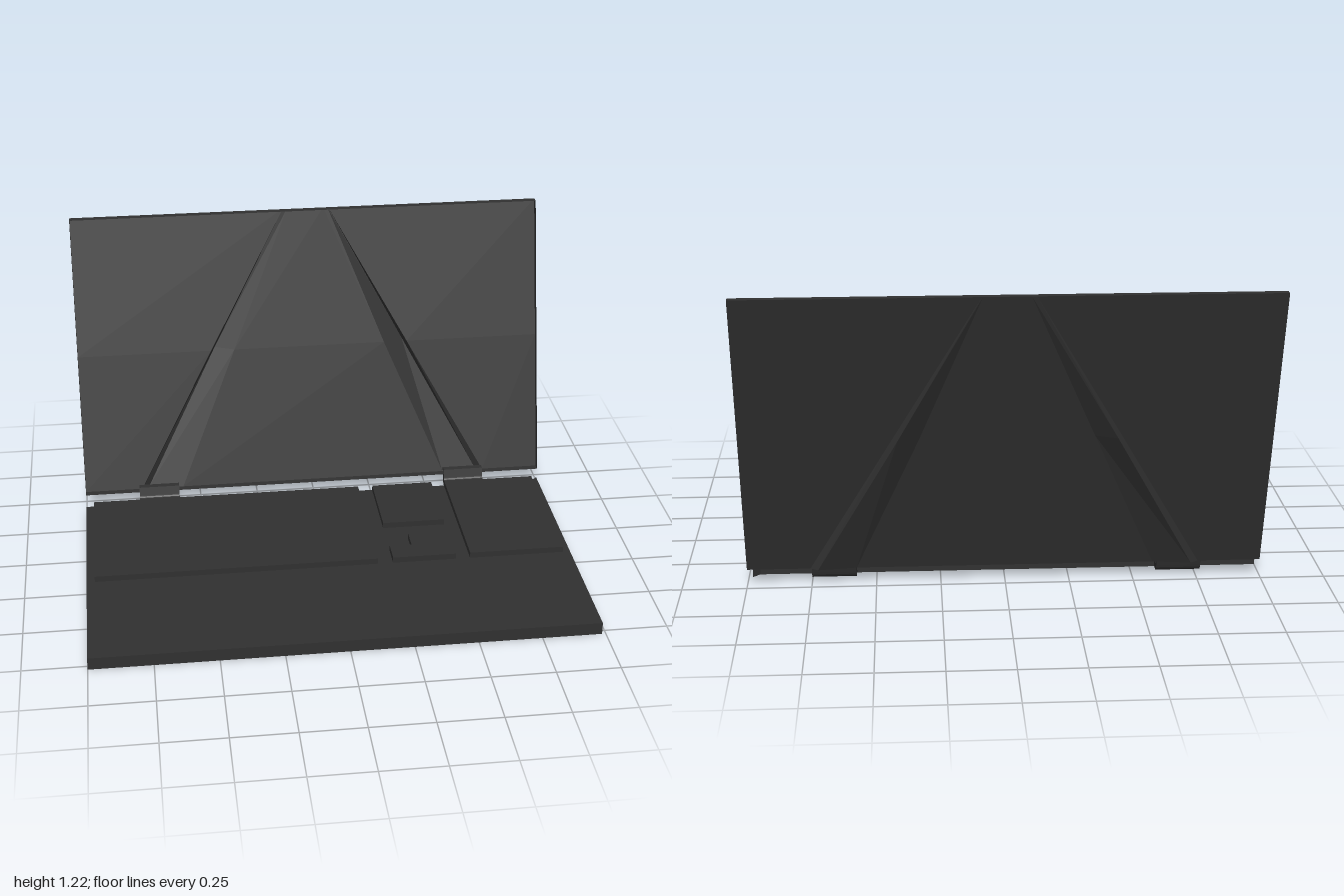
import * as THREE from 'three';

const charcoal = new THREE.MeshStandardMaterial({ color: 0x303030, side: THREE.DoubleSide });
charcoal.name = 'charcoal';

function part(name, geometry) {
  const mesh = new THREE.Mesh(geometry, charcoal);
  mesh.name = name;
  return mesh;
}

// Flat-faced surface through rows of [x, y, z] points
function surface(rows) {
  const pos = [];
  for (let r = 0; r + 1 < rows.length; r++) {
    for (let i = 0; i + 1 < rows[r].length; i++) {
      const a = rows[r][i], b = rows[r][i + 1], c = rows[r + 1][i + 1], d = rows[r + 1][i];
      pos.push(...a, ...b, ...c, ...a, ...c, ...d);
    }
  }
  const g = new THREE.BufferGeometry();
  g.setAttribute('position', new THREE.Float32BufferAttribute(pos, 3));
  g.computeVertexNormals();
  return g;
}

// Outlines are [x, z] lists running counter-clockwise seen from above
const rect = (x0, x1, z0, z1) => [[x0, z1], [x1, z1], [x1, z0], [x0, z0]];
const toPoints = (outline) => outline.map(([x, z]) => new THREE.Vector2(x, -z));

function plate(outline, y, holes = []) {
  const shape = new THREE.Shape(toPoints(outline));
  for (const h of holes) shape.holes.push(new THREE.Path(toPoints(h)));
  return new THREE.ShapeGeometry(shape).rotateX(-Math.PI / 2).translate(0, y, 0);
}

function wall(outline, y0, y1) {
  const loop = [...outline, outline[0]];
  return surface([y0, y1].map((y) => loop.map(([x, z]) => [x, y, z])));
}

// Thin shell, open underneath
function shell(name, outline, y0, y1, holes) {
  const g = new THREE.Group();
  g.name = name;
  g.add(part(name + 'Top', plate(outline, y1, holes)), part(name + 'Walls', wall(outline, y0, y1)));
  return g;
}

export function createModel() {
  const model = new THREE.Group();
  model.name = 'laptop';

  // Raised key blocks and the base they rise from
  const blocks = {
    mainKeys: rect(-0.967, 0.182, -0.36, 0.24),
    navigationKeys: rect(0.245, 0.506, -0.36, -0.037),
    arrowKeys: [[0.245, 0.24], [0.506, 0.24], [0.506, 0.147], [0.416, 0.147],
      [0.416, 0.056], [0.336, 0.056], [0.336, 0.147], [0.245, 0.147]],
    numberKeys: rect(0.565, 0.955, -0.36, 0.24),
  };
  const baseOutline = [[-1, 0.772], [0.985, 0.772], [0.985, -0.39], [0.957, -0.365], [-1, -0.365]];
  model.add(shell('base', baseOutline, 0, 0.05, Object.values(blocks)));
  for (const [name, outline] of Object.entries(blocks)) model.add(shell(name, outline, 0.05, 0.074));

  // Lid: leaning back panel with two tapering creased channels, open to the front
  const bottom = 0.065, top = 1.22, rim = 0.03;
  const lean = (x, y, back) => [x, y, -0.469 - 0.265 * (y - bottom) - back];
  const rows = [[0, 0.02], [0.5, 0.037], [1, 0]].map(([t, depth]) => {
    const outer = THREE.MathUtils.lerp(0.755, 0.1, t);
    const inner = THREE.MathUtils.lerp(0.576, 0.078, t);
    const crease = outer - 0.17 * (outer - inner);
    const half = [[1, 0], [outer, 0], [crease, depth], [inner, 0]];
    const y = THREE.MathUtils.lerp(bottom, top, t);
    return [
      ...half.map(([x, d]) => lean(-x, y, d)),
      ...half.reverse().map(([x, d]) => lean(x, y, d)),
    ];
  });
  const edge = [[-1, bottom], [1, bottom], [1, top], [-1, top], [-1, bottom]];
  const lid = new THREE.Group();
  lid.name = 'lid';
  lid.add(
    part('lidPanel', surface(rows)),
    part('lidRim', surface([0, -rim].map((d) => edge.map(([x, y]) => lean(x, y, d))))),
  );
  model.add(lid);

  // Bent hinge arms; profile drawn as (-z, y)
  const profile = new THREE.Shape();
  profile.moveTo(0.393, 0.015);
  profile.lineTo(0.43, 0.015);
  profile.quadraticCurveTo(0.45, 0.016, 0.456, 0.042);
  profile.lineTo(0.468, 0.085);
  profile.lineTo(0.443, 0.085);
  profile.lineTo(0.434, 0.05);
  profile.quadraticCurveTo(0.432, 0.04, 0.423, 0.04);
  profile.lineTo(0.393, 0.04);
  for (const [name, x] of [['rightHinge', -0.768], ['leftHinge', 0.577]]) {
    const g = new THREE.ExtrudeGeometry(profile, { depth: 0.173, bevelEnabled: false, curveSegments: 5 });
    model.add(part(name, g.rotateY(Math.PI / 2).translate(x, 0, 0)));
  }
  return model;
}
